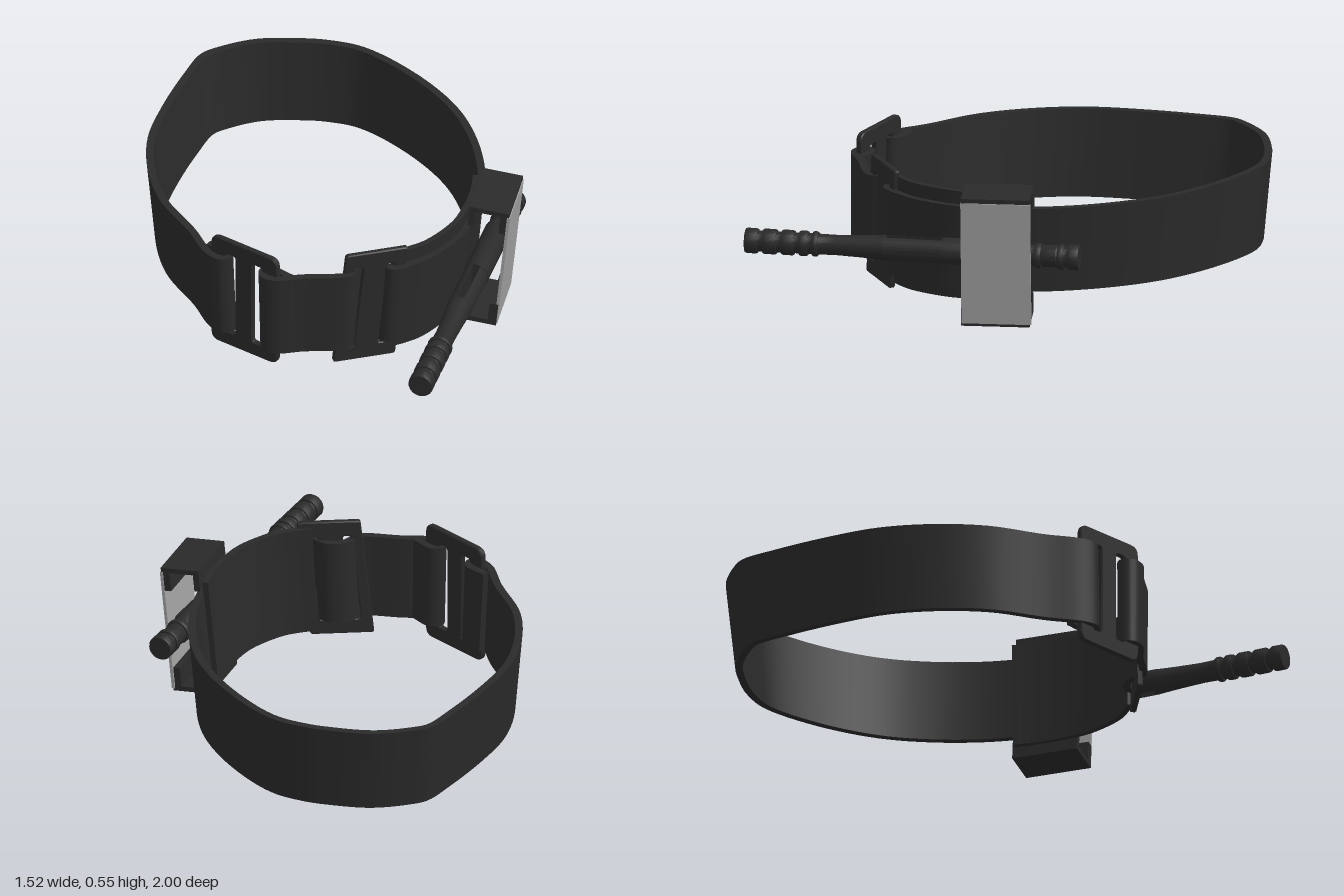
import * as THREE from 'three';
import { toCreasedNormals } from 'three/addons/utils/BufferGeometryUtils.js';

const dark = new THREE.MeshStandardMaterial({ color: 0x2a2a2a });
const pale = new THREE.MeshStandardMaterial({ color: 0xa0a0a0 });

function add(parent, name, geometry, material = dark) {
  const mesh = new THREE.Mesh(geometry, material);
  mesh.name = name;
  parent.add(mesh);
  return mesh;
}

// Flat frame in plan: centre plus the direction it runs along
function frame(x, z, dx, dz) {
  const l = Math.hypot(dx, dz);
  dx /= l; dz /= l;
  return { x, z, angle: Math.atan2(-dz, dx), at: (u, v) => [x + dx * u - dz * v, z + dz * u + dx * v] };
}

// The loop narrows slightly towards its lower edge
function taper(x, y, z) {
  const k = (0.46 - y) / 0.35;
  return [x * (1 - 0.05 * k), y, 0.6 + (z - 0.6) * (1 - 0.02 * k)];
}

// Upright band swept along a plan path of [x, z]; the path is its outer face
function ribbon(path, y0, y1, outer, inner, steps) {
  const curve = new THREE.CatmullRomCurve3(path.map(([x, z]) => new THREE.Vector3(x, 0, z)));
  const rings = [];
  for (let i = 0; i <= steps; i++) {
    const p = curve.getPoint(i / steps), t = curve.getTangent(i / steps);
    const side = (d, y) => taper(p.x + t.z * d, y, p.z - t.x * d);
    rings.push([side(outer, y0), side(outer, y1), side(inner, y1), side(inner, y0)]);
  }
  const pos = [];
  const quad = (a, b, c, d) => pos.push(...a, ...b, ...c, ...a, ...c, ...d);
  for (let i = 0; i < steps; i++) {
    const r = rings[i], s = rings[i + 1];
    for (let k = 0; k < 4; k++) quad(r[k], s[k], s[(k + 1) % 4], r[(k + 1) % 4]);
  }
  quad(...rings[0]);
  quad(...rings[steps].slice().reverse());
  const g = new THREE.BufferGeometry();
  g.setAttribute('position', new THREE.Float32BufferAttribute(pos, 3));
  return toCreasedNormals(g, 0.6);
}

// Rounded rectangle, optionally leaning sideways with height
function roundRect(path, x0, x1, y0, y1, r, lean) {
  const P = (x, y) => [x + lean * y, y];
  path.moveTo(...P(x0 + r, y0));
  path.lineTo(...P(x1 - r, y0));
  path.quadraticCurveTo(...P(x1, y0), ...P(x1, y0 + r));
  path.lineTo(...P(x1, y1 - r));
  path.quadraticCurveTo(...P(x1, y1), ...P(x1 - r, y1));
  path.lineTo(...P(x0 + r, y1));
  path.quadraticCurveTo(...P(x0, y1), ...P(x0, y1 - r));
  path.lineTo(...P(x0, y0 + r));
  path.quadraticCurveTo(...P(x0, y0), ...P(x0 + r, y0));
  return path;
}

// Three-bar slider buckle
function buckle(parent, name, f, halfW, slots, radius, lean) {
  const shape = roundRect(new THREE.Shape(), -halfW, halfW, -0.245, 0.245, radius, lean);
  for (const [a, b] of slots) shape.holes.push(roundRect(new THREE.Path(), a, b, -0.19, 0.187, 0.015, lean));
  const g = new THREE.ExtrudeGeometry(shape, {
    depth: 0.015, bevelThickness: 0.005, bevelSize: 0.004, bevelSegments: 1, curveSegments: 5,
  });
  g.translate(0, 0, -0.0075);
  const mesh = add(parent, name, toCreasedNormals(g, 0.6));
  mesh.position.set(f.x, 0.29, f.z);
  mesh.rotation.y = f.angle;
}

export function createModel() {
  const model = new THREE.Group();
  model.name = 'tourniquet';
  const f1 = frame(-0.215, 0.55, 0.29, 0.13);
  const f2 = frame(0.27, 0.487, 0.22, -0.11);

  // Strap: folds round one buckle bar, weaves through the second buckle,
  // circles round and folds over the opposite bar of the first buckle
  const flank = [[0.5, 0.36], [0.58, 0.21], [0.605, 0.08], [0.61, -0.05], [0.585, -0.235]];
  const strapPath = [
    f1.at(0.2, -0.042), f1.at(0.1, -0.042), f1.at(0.068, 0), f1.at(0.1, 0.042), f1.at(0.16, 0.035),
    [0.03, 0.61],
    f2.at(-0.12, 0.036), f2.at(-0.08, 0.032), f2.at(-0.03, -0.013), f2.at(0.03, -0.013),
    f2.at(0.08, 0.032), f2.at(0.12, 0.036),
    ...flank,
    [0.51, -0.45], [0.39, -0.65], [0.19, -0.84], [-0.05, -0.98], [-0.2, -1], [-0.31, -0.99],
    [-0.48, -0.95], [-0.61, -0.87], [-0.67, -0.81], [-0.71, -0.66], [-0.75, -0.42], [-0.762, -0.21],
    [-0.72, 0], [-0.63, 0.2], [-0.48, 0.38],
    f1.at(-0.17, 0.036), f1.at(-0.1, 0.042), f1.at(-0.068, 0), f1.at(-0.1, -0.042), f1.at(-0.2, -0.042),
  ];
  add(model, 'strap', ribbon(strapPath, 0.11, 0.46, 0, 0.03, 216));

  // Wider stiffening plate lying inside the strap
  const platePath = [[0.37, 0.47], [0.44, 0.42], ...flank.slice(0, 4), [0.6, -0.14]];
  add(model, 'backingPlate', ribbon(platePath, 0.065, 0.515, 0.026, 0.05, 36));

  buckle(model, 'sliderBuckle', f1, 0.156, [[-0.095, -0.04], [0.035, 0.09]], 0.035, 0);
  buckle(model, 'frictionBuckle', f2, 0.122, [[-0.085, -0.045], [0.045, 0.085]], 0.008, 0.11);

  // Clip: hooked upper and lower brackets joined by a pale outer panel
  const clip = new THREE.Group();
  clip.name = 'rodClip';
  clip.position.set(0.65, 0.28, 0);
  clip.rotation.z = -0.1;
  model.add(clip);
  const hook = [[-0.08, 0.27], [-0.08, 0.18], [-0.055, 0.18], [-0.055, 0.25],
    [0.045, 0.25], [0.045, 0.17], [0.08, 0.17], [0.08, 0.27]];
  for (const s of [1, -1]) {
    const shape = new THREE.Shape(hook.map(([x, y]) => new THREE.Vector2(x, y * s)));
    const g = new THREE.ExtrudeGeometry(shape, { depth: 0.27, bevelEnabled: false });
    g.translate(0, 0, -0.135 + 0.004 * (1 - s) / 2);
    add(clip, s > 0 ? 'upperHook' : 'lowerHook', g);
  }
  add(clip, 'clipPanel', new THREE.BoxGeometry(0.012, 0.51, 0.275), pale).position.set(0.078, -0.003, 0);

  // Windlass rod: ribbed grips at both ends and a slot through the middle
  const rod = new THREE.Group();
  rod.name = 'windlassRod';
  const start = new THREE.Vector3(0.575, 0.29, 1), end = new THREE.Vector3(0.682, 0.29, -0.325);
  rod.position.copy(start);
  rod.quaternion.setFromUnitVectors(new THREE.Vector3(0, 1, 0), end.clone().sub(start).normalize());
  model.add(rod);
  const length = start.distanceTo(end);
  const ribs = (list) => list.flatMap(([a, b]) =>
    [[0.041, a], [0.047, a], [0.05, a + 0.006], [0.05, b - 0.006], [0.047, b], [0.041, b]]);
  const lathe = (name, pts) => add(rod, name, toCreasedNormals(
    new THREE.LatheGeometry(pts.map(([r, y]) => new THREE.Vector2(r, y)), 20), 0.6));
  lathe('frontGrip', [[0, 0], ...ribs([[0, 0.05], [0.07, 0.125], [0.145, 0.195], [0.215, 0.25], [0.268, 0.29]]),
    [0.04, 0.36], [0.044, 0.46], [0.05, 0.56], [0, 0.56]]);
  lathe('rearGrip', [[0, 0.785], [0.052, 0.785], [0.052, 1.1], [0.042, 1.13],
    ...ribs([[1.155, 1.18]]), [0.044, 1.19], [0.044, 1.24],
    ...ribs([[1.245, 1.27], [1.285, length]]), [0, length]]);

  // Two half-round rails either side of the slot
  for (const s of [1, -1]) {
    const a = Math.acos(0.015 / 0.05);
    const shape = new THREE.Shape();
    shape.absarc(0, 0, 0.05, s > 0 ? -a : Math.PI - a, s > 0 ? a : Math.PI + a, false);
    const g = new THREE.ExtrudeGeometry(shape, { depth: 0.24, bevelEnabled: false, curveSegments: 10 });
    g.rotateX(-Math.PI / 2);
    g.translate(0, 0.55, 0);
    add(rod, 'slotRail', toCreasedNormals(g, 0.6));
  }
  return model;
}
